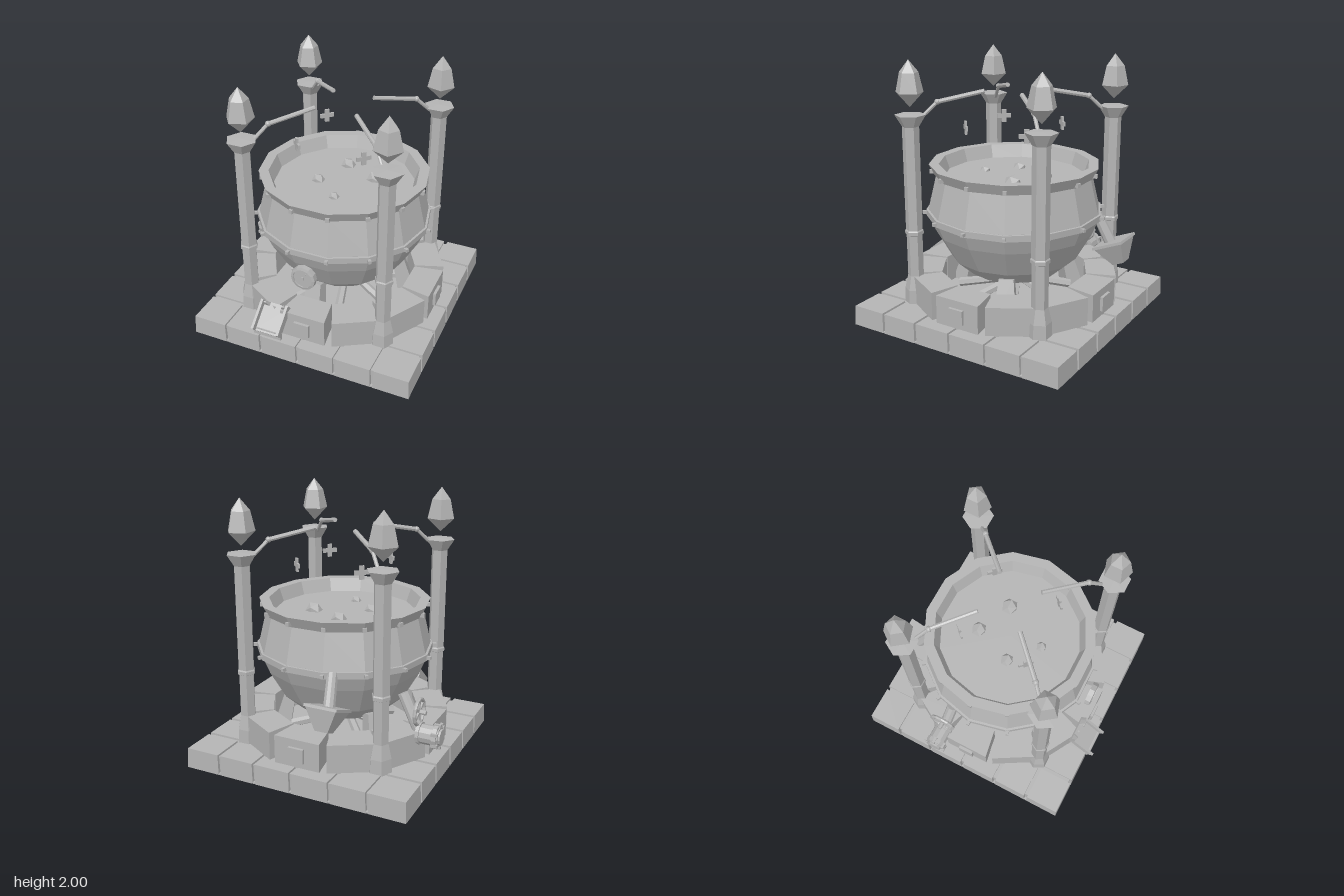
import * as THREE from 'three';

const stone = new THREE.MeshStandardMaterial({ color: 0xb4b4b4, flatShading: true, side: THREE.DoubleSide });
stone.name = 'plain grey';
const V = (x, y, z) => new THREE.Vector3(x, y, z);

function add(parent, name, geo, x = 0, y = 0, z = 0) {
  const m = new THREE.Mesh(geo, stone);
  m.name = name;
  m.position.set(x, y, z);
  parent.add(m);
  return m;
}
function group(parent, name, x = 0, y = 0, z = 0, ry = 0) {
  const g = new THREE.Group();
  g.name = name;
  g.position.set(x, y, z);
  g.rotation.y = ry;
  parent.add(g);
  return g;
}
const box = (w, h, d) => new THREE.BoxGeometry(w, h, d);
const lathe = (pts, n, start = 0) =>
  new THREE.LatheGeometry(pts.map(p => new THREE.Vector2(p[0], p[1])), n, start);
// Straight round bar between two points
function bar(parent, name, a, b, r1, r2 = r1, sides = 8) {
  const d = b.clone().sub(a);
  const m = add(parent, name, new THREE.CylinderGeometry(r2, r1, d.length(), sides));
  m.position.copy(a).addScaledVector(d, 0.5);
  m.quaternion.setFromUnitVectors(V(0, 1, 0), d.normalize());
  return m;
}
// Box whose top face is scaled
function taperBox(w, h, d, sx, sz = sx) {
  const g = box(w, h, d), p = g.attributes.position;
  for (let i = 0; i < p.count; i++)
    if (p.getY(i) > 0) { p.setX(i, p.getX(i) * sx); p.setZ(i, p.getZ(i) * sz); }
  return g;
}

function buildBase(root) {
  const base = group(root, 'base');
  add(base, 'slab', box(1.71, 0.14, 1.71), 0, 0.07, 0);
  add(base, 'underside', box(1.755, 0.012, 1.755), 0, 0.006, 0);
  // Border of paving blocks, six to a side
  const cuts = [-0.88, -0.595, -0.305, 0, 0.3, 0.595, 0.88];
  for (let i = 0; i < 6; i++) for (let j = 0; j < 6; j++) {
    if (i > 0 && i < 5 && j > 0 && j < 5) continue;
    const lo = (k) => cuts[k] + (k > 0 ? 0.009 : 0), hi = (k) => cuts[k + 1] - (k < 5 ? 0.009 : 0);
    const w = hi(i) - lo(i), d = hi(j) - lo(j);
    add(base, 'pavingBlock', taperBox(w, 0.155, d, 1 - 0.012 / w, 1 - 0.012 / d),
      (lo(i) + hi(i)) / 2, 0.0775, (lo(j) + hi(j)) / 2);
  }
}

function buildHearth(root) {
  const ring = group(root, 'hearth');
  // Wedge block, its narrow end towards the middle
  const s = new THREE.Shape();
  s.moveTo(-0.18, -0.775); s.lineTo(0.18, -0.775); s.lineTo(0.14, -0.55); s.lineTo(-0.14, -0.55);
  const block = new THREE.ExtrudeGeometry(s, { depth: 0.22, bevelEnabled: false });
  block.rotateX(-Math.PI / 2);
  for (let i = 0; i < 12; i++) {
    const g = group(ring, 'hearthSegment', 0, 0.15, 0, i * Math.PI / 6);
    add(g, 'hearthBlock', block);
    if (i % 3 === 0) add(g, 'hearthPlate', box(0.12, 0.11, 0.03), 0, 0.105, 0.782);
  }
  // Firewood
  for (let i = 0; i < 7; i++) {
    const a = i * 0.9 + 0.3;
    bar(ring, 'log', V(Math.sin(a) * 0.45, 0.18, Math.cos(a) * 0.45),
      V(Math.sin(a + 0.3) * 0.06, 0.27, Math.cos(a + 0.3) * 0.06), 0.035, 0.03, 6);
  }
}

function buildCauldron(root) {
  const N = 14, start = Math.PI / N;
  const c = group(root, 'cauldron');
  add(c, 'cauldronBody', lathe([[0, 0.37], [0.36, 0.375], [0.49, 0.49], [0.61, 0.7], [0.655, 0.81],
    [0.655, 0.86], [0.59, 1.13]], N, start));
  add(c, 'bellyBand', lathe([[0.64, 0.81], [0.672, 0.812], [0.672, 0.858], [0.64, 0.86]], N, start));
  add(c, 'rim', lathe([[0.58, 1.13], [0.605, 1.13], [0.645, 1.21], [0.57, 1.21], [0.53, 1.1]], N, start));
  add(c, 'brew', new THREE.CircleGeometry(0.54, N).rotateX(-Math.PI / 2), 0, 1.11, 0).rotation.y = 0;
  for (let i = 0; i < N; i++) {
    const g = group(c, 'rivets', 0, 0, 0, start + i * 2 * start);
    add(g, 'bellyRivet', box(0.024, 0.024, 0.04), 0, 0.835, 0.68);
    add(g, 'rimRivet', box(0.03, 0.03, 0.035), 0, 1.155, 0.622);
  }
  // Bubbles
  for (const [x, z, r] of [[-0.065, -0.23, 0.06], [0.205, -0.11, 0.066], [-0.185, 0.07, 0.052], [0.025, 0.25, 0.042]])
    add(c, 'bubble', new THREE.IcosahedronGeometry(r), x, 1.11, z);
  // Three splayed feet
  for (let i = 0; i < 3; i++) {
    const g = group(c, 'footMount', 0, 0, 0, -0.1 + i * 2 * Math.PI / 3);
    add(g, 'foot', taperBox(0.17, 0.3, 0.13, 0.65), 0, 0.29, 0.46).rotation.x = -0.25;
  }
}

function buildPillars(root) {
  for (const sx of [-1, 1]) for (const sz of [-1, 1]) {
    const p = group(root, 'pillar', sx * 0.545, 0, sz * 0.545);
    const hex = Math.PI / 6 * 3;
    add(p, 'pillarShaft', lathe([[0, 0.15], [0.09, 0.15], [0.085, 0.26], [0.06, 0.37], [0.06, 0.695], [0.07, 0.7],
      [0.07, 0.725], [0.063, 0.735], [0.063, 1.52], [0.115, 1.605], [0, 1.61]], 6, hex));
    add(p, 'crystal', lathe([[0, 1.66], [0.105, 1.765], [0.072, 1.91], [0, 2]], 5, sx * 0.3));
    // Bent arm reaching over the cauldron
    const at = (d, y) => V(-sx * d, y, -sz * d);
    bar(p, 'armStrut', at(0.06, 1.585), at(0.14, 1.69), 0.014);
    add(p, 'armJoint', new THREE.IcosahedronGeometry(0.022, 1)).position.copy(at(0.14, 1.69));
    bar(p, 'armRod', at(0.14, 1.69), at(0.385, 1.755), 0.017);
    // Hanging cross, facing the middle
    const x = group(p, 'hangingCross', -sx * 0.285, 1.49, -sz * 0.285, sx * sz * Math.PI / 4);
    add(x, 'crossUpright', box(0.035, 0.1, 0.016));
    add(x, 'crossBar', box(0.11, 0.032, 0.016));
  }
}

function buildGauge(root) {
  const g = group(root, 'gauge', 0, 0.695, 0.72);
  add(g, 'gaugeFace', new THREE.CylinderGeometry(0.08, 0.08, 0.03, 12).rotateX(Math.PI / 2));
  add(g, 'gaugeRim', lathe([[0.075, -0.02], [0.095, -0.02], [0.095, 0.02], [0.075, 0.025], [0.075, -0.02]], 12)
    .rotateX(Math.PI / 2));
  add(g, 'needle', box(0.008, 0.06, 0.006), 0.01, 0.015, 0.018).rotation.z = -0.5;
  add(g, 'gaugeHub', box(0.02, 0.02, 0.01), 0, 0, 0.018);
}

function buildChute(root) {
  const c = group(root, 'ashChute', -0.23, 0.3, 0.81);
  c.rotation.x = 0.7;
  add(c, 'chuteFloor', box(0.22, 0.025, 0.23));
  for (const s of [-1, 1]) {
    add(c, 'chuteWall', box(0.02, 0.06, 0.23), s * 0.102, 0.03, 0);
    add(c, 'chuteHook', taperBox(0.06, 0.05, 0.03, 0.3), s * 0.075, 0.035, -0.1);
  }
  add(root, 'chuteLip', box(0.225, 0.055, 0.02), -0.23, 0.225, 0.885);
  add(root, 'chuteProp', box(0.04, 0.1, 0.04), -0.2, 0.2, 0.82);
}

function buildFunnel(root) {
  bar(root, 'funnelPipe', V(-0.2, 0.85, -0.6), V(-0.235, 0.57, -0.74), 0.04, 0.045, 10);
  const f = group(root, 'funnel', -0.23, 0.565, -0.765);
  f.rotation.x = 0.4;
  add(f, 'funnelCup', taperBox(0.1, 0.16, 0.09, 2.35, 2.6));
  add(f, 'funnelEdge', box(0.25, 0.02, 0.25), 0, 0.085, 0);
}

function buildValve(root) {
  const v = group(root, 'drainValve', -0.005, 0, -0.24);
  const disc = (name, x0, x1, r, n = 12, y = 0.345) => bar(v, name, V(x0, y, 0), V(x1, y, 0), r, r, n);
  disc('barrel', -0.87, -0.7, 0.073);
  disc('outerFlange', -0.862, -0.83, 0.09);
  disc('spout', -0.885, -0.86, 0.06);
  disc('innerFlange', -0.73, -0.705, 0.085);
  for (let i = 0; i < 6; i++) {
    const a = i * Math.PI / 3;
    add(v, 'flangeBolt', box(0.05, 0.022, 0.022), -0.85, 0.345 + Math.cos(a) * 0.085, Math.sin(a) * 0.085);
  }
  bar(v, 'risingPipe', V(-0.715, 0.35, 0), V(-0.57, 0.62, 0.03), 0.045, 0.045, 10);
  // Spoked hand wheel
  const w = group(v, 'handWheel', -0.705, 0.51, 0);
  add(w, 'wheelRim', new THREE.TorusGeometry(0.095, 0.014, 6, 12).rotateY(Math.PI / 2));
  for (let i = 0; i < 3; i++) add(w, 'spoke', box(0.014, 0.19, 0.018)).rotation.x = i * Math.PI / 3;
  bar(w, 'wheelHub', V(-0.055, 0, 0), V(0.07, 0, 0), 0.018);
}

export function createModel() {
  const model = new THREE.Group();
  model.name = 'cauldronShrine';
  const root = group(model, 'assembly', 0.005, 0, -0.01);
  buildBase(root);
  buildHearth(root);
  buildCauldron(root);
  buildPillars(root);
  buildGauge(root);
  buildChute(root);
  buildFunnel(root);
  buildValve(root);
  return model;
}
